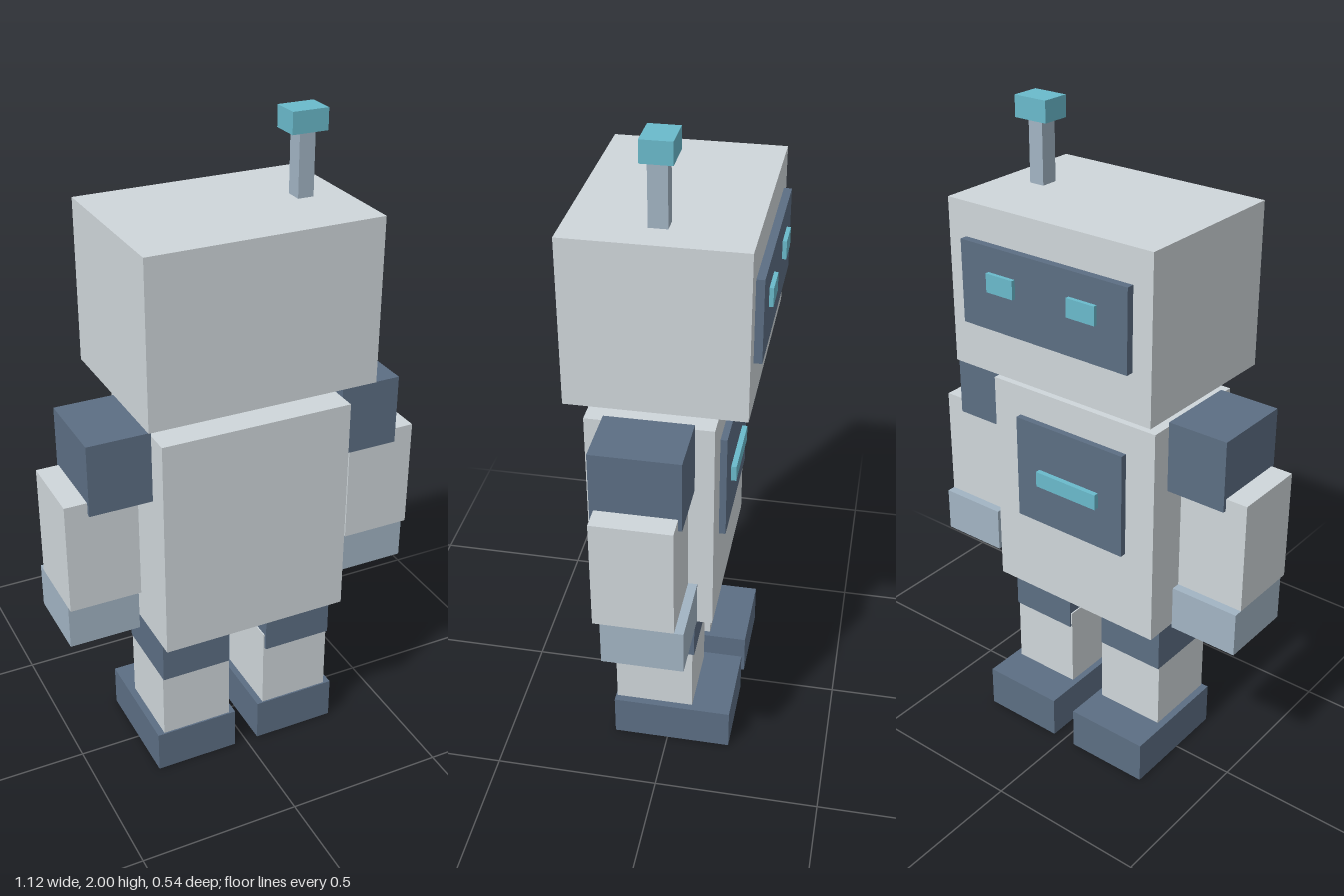
import * as THREE from 'three';

const material = (color) => new THREE.MeshStandardMaterial({ color });

export function createModel() {
  const robot = new THREE.Group();
  robot.name = 'robot';
  const shell = material(0xcfd6da);
  const dark = material(0x5c6e83);
  const steel = material(0xa2b4c3);
  const glow = material(0x6abacb);

  // Box given by its [min, max] range on each axis
  function block(name, mat, [x0, x1], [y0, y1], [z0, z1], parent = robot) {
    const mesh = new THREE.Mesh(new THREE.BoxGeometry(x1 - x0, y1 - y0, z1 - z0), mat);
    mesh.position.set((x0 + x1) / 2, (y0 + y1) / 2, (z0 + z1) / 2);
    mesh.name = name;
    parent.add(mesh);
  }
  const wide = (w) => [-w, w];

  // Head with face plate; the face looks towards -z
  const head = new THREE.Group();
  head.name = 'head';
  robot.add(head);
  block('skull', shell, wide(0.348), [1.265, 1.755], [-0.235, 0.27], head);
  block('facePlate', dark, wide(0.286), [1.41, 1.654], [-0.258, -0.235], head);
  block('antennaRod', steel, [0.203, 0.251], [1.755, 1.938], [-0.005, 0.048], head);
  block('antennaTip', glow, [0.173, 0.282], [1.938, 2], [-0.025, 0.062], head);

  // Neck and torso
  block('neck', dark, wide(0.093), [1.188, 1.265], [-0.05, 0.139]);
  block('torso', shell, wide(0.294), [0.498, 1.188], [-0.138, 0.229]);
  block('chestPanel', dark, wide(0.195), [0.763, 1.095], [-0.158, -0.138]);
  block('chestLight', glow, wide(0.11), [0.897, 0.946], [-0.174, -0.158]);

  // Paired parts: x range measured outwards from the centre
  const pairs = [
    ['Eye', glow, [0.093, 0.187], [1.526, 1.581], [-0.27, -0.258]],
    ['Shoulder', dark, [0.301, 0.49], [0.99, 1.208], [-0.084, 0.171]],
    ['Arm', shell, [0.341, 0.558], [0.684, 1.028], [-0.073, 0.159]],
    ['Hand', steel, [0.341, 0.558], [0.545, 0.684], [-0.1, 0.138]],
    ['Hip', dark, [0.064, 0.284], [0.35, 0.498], [-0.082, 0.173]],
    ['Shin', shell, [0.06, 0.283], [0.135, 0.4], [-0.076, 0.164]],
    ['Foot', dark, [0.04, 0.305], [0, 0.135], [-0.197, 0.169]],
  ];
  for (const [side, sign] of [['left', 1], ['right', -1]]) {
    for (const [part, mat, [a, b], y, z] of pairs) {
      block(side + part, mat, sign > 0 ? [a, b] : [-b, -a], y, z, part === 'Eye' ? head : robot);
    }
  }
  return robot;
}
